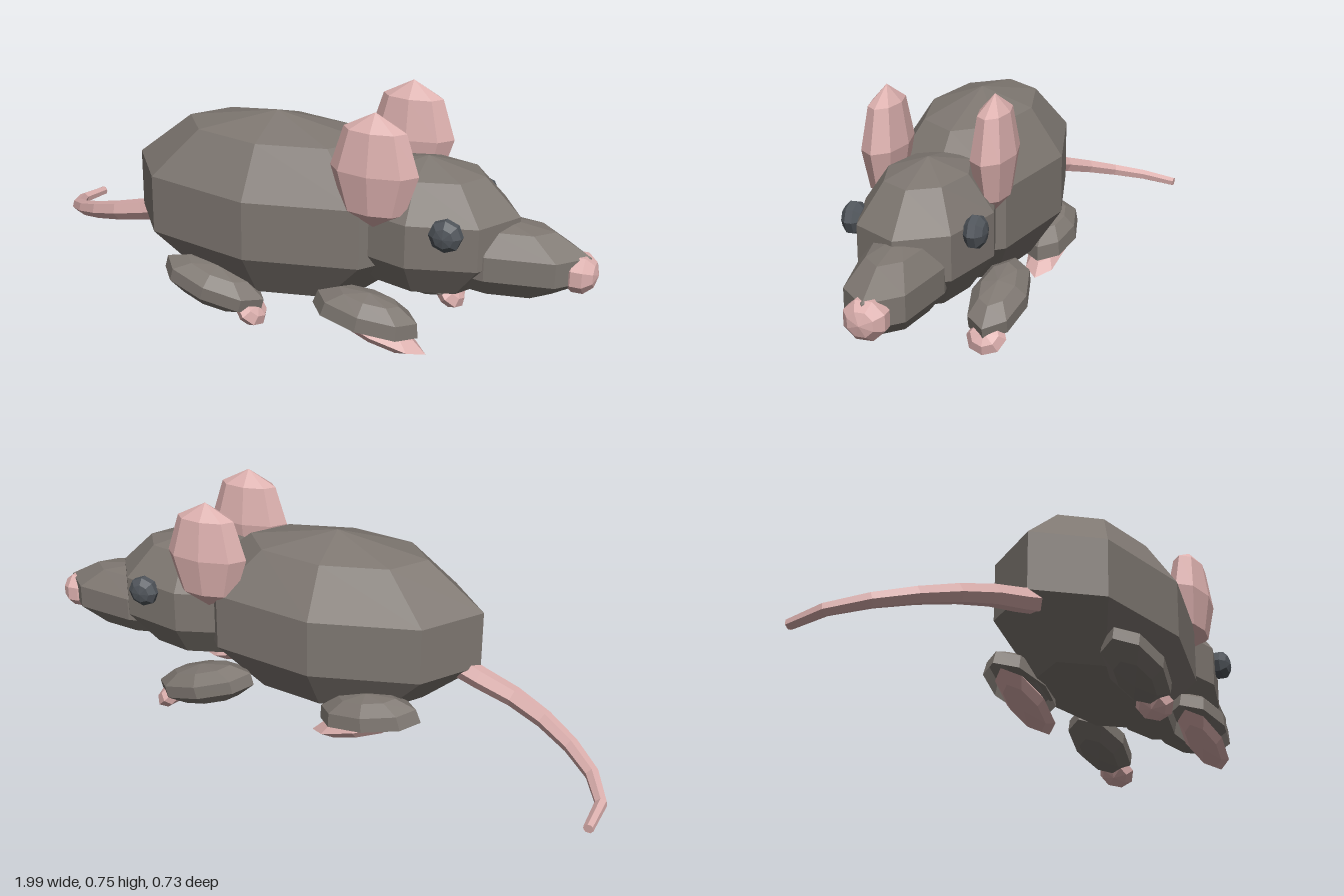
import * as THREE from 'three';

const flat = (name, color) => {
  const m = new THREE.MeshStandardMaterial({ color, flatShading: true, side: THREE.DoubleSide });
  m.name = name;
  return m;
};

export function createModel() {
  const fur = flat('grey fur', 0x7e7771);
  const skin = flat('pink skin', 0xdcb0ae);
  const black = flat('dark eye', 0x50555b);
  const mid = 0.096; // z of the body's plane of symmetry

  const model = new THREE.Group();
  model.name = 'mouse';

  const add = (parent, name, geometry, material, pos = [0, 0, 0], scale = [1, 1, 1], tilt = 0) => {
    const mesh = new THREE.Mesh(geometry, material);
    mesh.name = name;
    mesh.position.set(...pos);
    mesh.scale.set(...scale);
    mesh.rotation.z = tilt;
    parent.add(mesh);
    return mesh;
  };

  // Shared faceted ball shapes
  const ball5 = new THREE.SphereGeometry(1, 8, 5);
  const ball4 = new THREE.SphereGeometry(1, 8, 4);
  const sideBall = new THREE.SphereGeometry(1, 8, 5).rotateX(Math.PI / 2);
  const noseBall = new THREE.SphereGeometry(1, 8, 5).rotateZ(Math.PI / 2).rotateX(Math.PI / 8);
  const dome = new THREE.SphereGeometry(1, 8, 3, 0, Math.PI * 2, 0, Math.PI * 0.56);

  // Body, head, snout and nose
  add(model, 'body', ball5, fur, [-0.02, 0.348, mid], [0.515, 0.303, 0.279]);
  add(model, 'head', ball5, fur, [0.472, 0.359, mid], [0.303, 0.218, 0.208]);
  add(model, 'snout', ball5, fur, [0.69, 0.298, mid], [0.3, 0.123, 0.131]);
  add(model, 'nose', noseBall, skin, [0.945, 0.285, mid], [0.055, 0.064, 0.067]);

  // Ears and eyes on both sides
  for (const [label, s] of [['left', 1], ['right', -1]]) {
    add(model, label + 'Ear', ball4, skin, [0.362, 0.57, mid + s * 0.167], [0.137, 0.178, 0.065]);
    add(model, label + 'Eye', sideBall, black, [0.59, 0.412, mid + s * 0.183], [0.053, 0.052, 0.035]);
  }

  // Lifted leg: full paw with only the toes showing
  const liftedLeg = (name, x, z) => {
    const leg = new THREE.Group();
    leg.name = name;
    leg.position.set(x, 0, z);
    add(leg, 'paw', ball5, fur, [-0.165, 0.113, 0], [0.182, 0.068, 0.09], -0.26);
    add(leg, 'toes', ball4, skin, [-0.035, 0.045, 0], [0.057, 0.036, 0.062], -0.78);
    model.add(leg);
  };

  // Planted leg: flat dome over a long sole
  const plantedLeg = (name, x, z) => {
    const leg = new THREE.Group();
    leg.name = name;
    leg.position.set(x, 0, z);
    add(leg, 'paw', dome, fur, [-0.19, 0.105, 0], [0.175, 0.08, 0.088], -0.15);
    add(leg, 'sole', ball4, skin, [-0.155, 0.066, 0], [0.168, 0.034, 0.063], -0.31);
    model.add(leg);
  };

  const near = mid + 0.183, far = mid - 0.183;
  plantedLeg('frontLegLeft', 0.54, near);
  liftedLeg('frontLegRight', 0.54, far);
  liftedLeg('backLegLeft', 0.005, near);
  plantedLeg('backLegRight', -0.01, far);

  // Tapering curled tail
  const path = new THREE.CatmullRomCurve3([
    [-0.4, 0.26, 0.1], [-0.5, 0.228, 0.078], [-0.66, 0.182, 0.045], [-0.8, 0.135, -0.025],
    [-0.92, 0.088, -0.13], [-0.975, 0.06, -0.25], [-0.962, 0.048, -0.367],
  ].map((p) => new THREE.Vector3(...p)));
  const rings = 7, sides = 6;
  const tube = new THREE.TubeGeometry(path, rings, 1, sides);
  const pos = tube.attributes.position;
  const v = new THREE.Vector3();
  for (let i = 0; i < pos.count; i++) {
    const t = Math.floor(i / (sides + 1)) / rings;
    const centre = path.getPointAt(t);
    v.fromBufferAttribute(pos, i).sub(centre).multiplyScalar(0.04 - 0.024 * t).add(centre);
    pos.setXYZ(i, v.x, v.y, v.z);
  }
  add(model, 'tail', tube, skin);
  const end = path.getPointAt(1);
  const cap = add(model, 'tailTip', new THREE.CircleGeometry(0.016, sides), skin, end.toArray());
  cap.lookAt(end.clone().add(path.getTangentAt(1)));

  return model;
}
